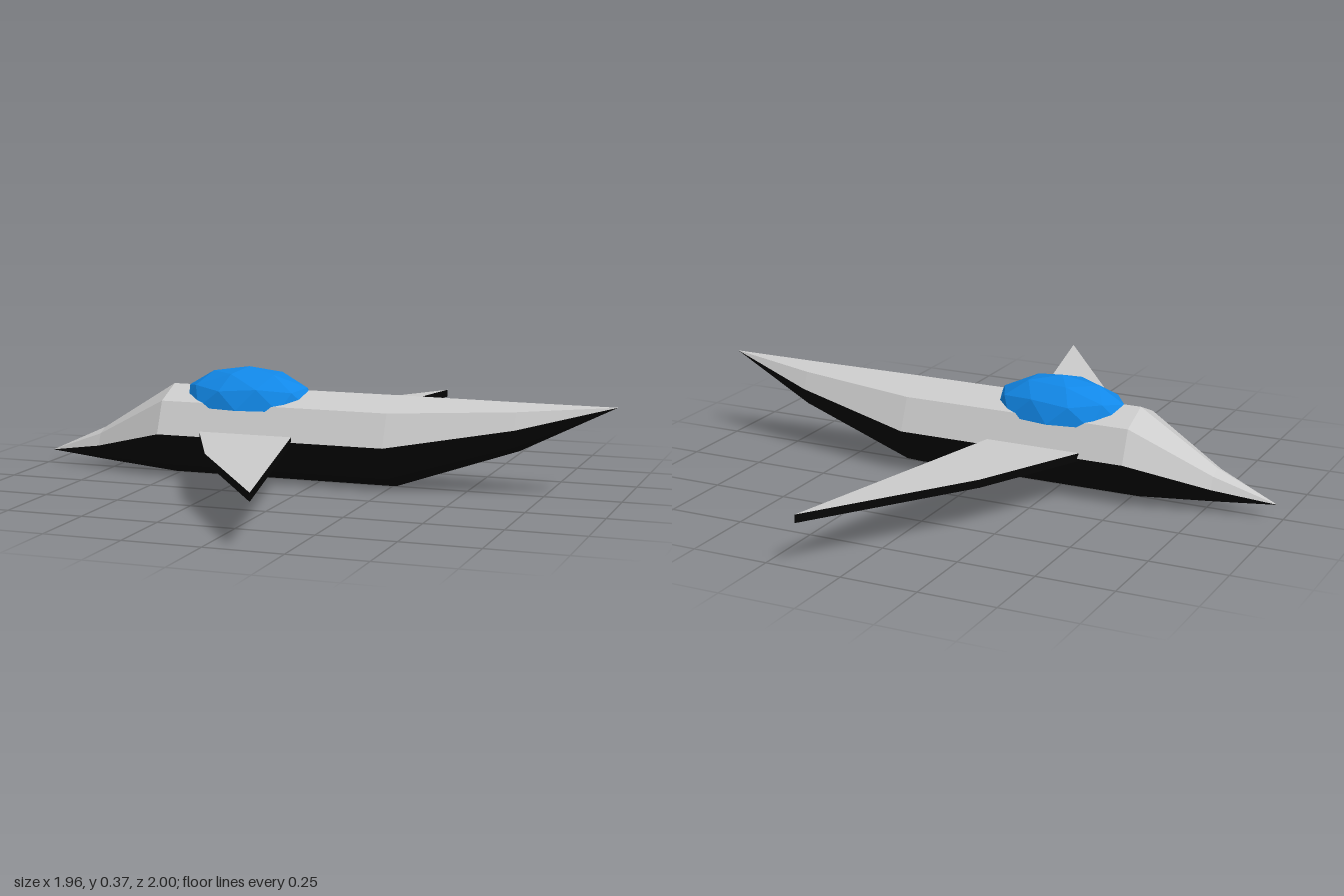
import * as THREE from 'three';

const material = (color) => new THREE.MeshStandardMaterial({ color, flatShading: true });
const grey = material(0xcccccc);
const black = material(0x050505);
const blue = material(0x1188e8);

// Hull stations from nose to tail: [x, centre height, radius]
const STATIONS = [
  [-0.98, 0.045, 0],
  [-0.78, 0.08, 0.056],
  [-0.52, 0.15, 0.15],
  [0.26, 0.15, 0.15],
  [0.67, 0.22, 0.078],
  [0.98, 0.298, 0],
];

// Half of the eight-sided hull, swept over four sides from startAngle
function hullHalf(startAngle) {
  const point = ([x, y, r], i) => {
    const a = startAngle + (i * Math.PI) / 4;
    return [x, y + r * Math.sin(a), r * Math.cos(a)];
  };
  const positions = [];
  for (let s = 0; s < STATIONS.length - 1; s++) {
    const a = STATIONS[s], b = STATIONS[s + 1];
    for (let i = 0; i < 4; i++) {
      if (b[2] > 0) positions.push(...point(a, i), ...point(b, i), ...point(b, i + 1));
      if (a[2] > 0) positions.push(...point(a, i), ...point(b, i + 1), ...point(a, i + 1));
    }
  }
  const geometry = new THREE.BufferGeometry();
  geometry.setAttribute('position', new THREE.Float32BufferAttribute(positions, 3));
  geometry.computeVertexNormals();
  return geometry;
}

function addMesh(parent, name, geometry, mat) {
  const mesh = new THREE.Mesh(geometry, mat);
  mesh.name = name;
  parent.add(mesh);
  return mesh;
}

// Swept wing: a black slab with a grey upper skin
function makeWing(name, side) {
  const wing = new THREE.Group();
  wing.name = name;
  const outline = [[-0.39, 0.08], [-0.37, 0.145], [-0.2, 0.5], [0.147, 1], [-0.05, 0.145], [-0.065, 0.08]];
  const shape = new THREE.Shape(outline.map(([x, z]) => new THREE.Vector2(x, -side * z)));
  const slab = new THREE.ExtrudeGeometry(shape, { depth: 0.0255, bevelEnabled: false });
  addMesh(wing, 'wingUnderside', slab.rotateX(-Math.PI / 2), black).position.y = 0.141;
  const skin = new THREE.ShapeGeometry(shape);
  addMesh(wing, 'wingTop', skin.rotateX(-Math.PI / 2), grey).position.y = 0.167;
  return wing;
}

// Faceted dome: a subdivided icosahedron with a vertex at the top and a flat base
function makeCanopy() {
  const geometry = new THREE.IcosahedronGeometry(1, 1);
  geometry.rotateZ(Math.atan(2 / (1 + Math.sqrt(5))));
  const p = geometry.attributes.position;
  for (let i = 0; i < p.count; i++) p.setY(i, Math.max(0, p.getY(i)));
  geometry.scale(0.24, 0.13, 0.13);
  geometry.computeVertexNormals();
  return geometry;
}

export function createModel() {
  const model = new THREE.Group();
  model.name = 'spacecraft';
  addMesh(model, 'upperHull', hullHalf(0), grey);
  addMesh(model, 'lowerHull', hullHalf(Math.PI), black);
  model.add(makeWing('frontWing', 1), makeWing('backWing', -1));
  addMesh(model, 'canopy', makeCanopy(), blue).position.set(-0.25, 0.24, 0);
  return model;
}
